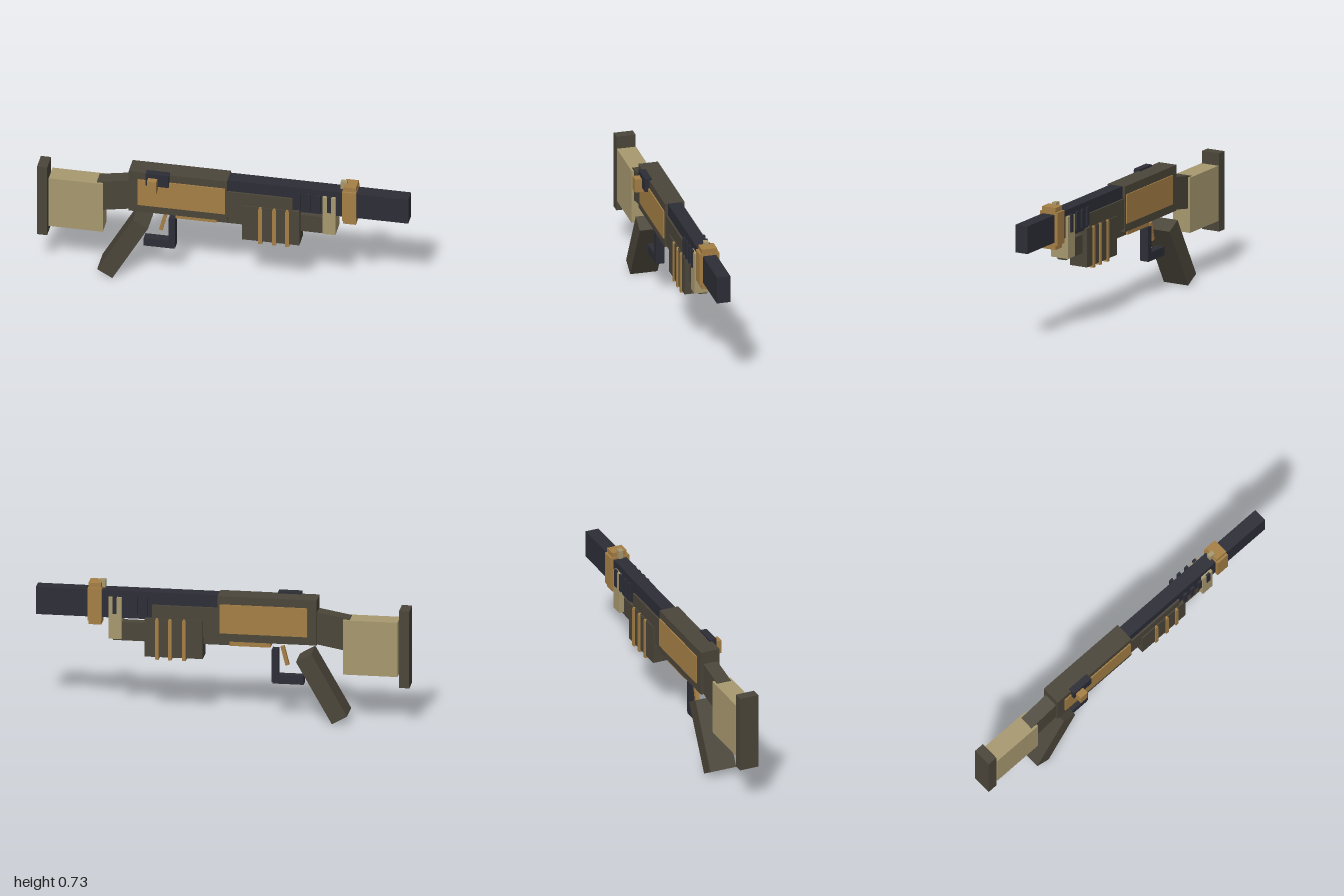
import * as THREE from 'three';

const ZC = -0.02; // centre plane of the body

export function createModel() {
  const model = new THREE.Group();
  const mat = (name, color) => {
    const m = new THREE.MeshStandardMaterial({ color });
    m.name = name;
    return m;
  };
  const olive = mat('olive', 0x4b463a);
  const dark = mat('gunmetal', 0x2d2d37);
  const gold = mat('bronze', 0xa67f45);
  const tan = mat('tan', 0xa8996f);

  // Box from its limits on x, y and z
  const box = (name, m, x0, x1, y0, y1, z0, z1) => {
    const mesh = new THREE.Mesh(new THREE.BoxGeometry(x1 - x0, y1 - y0, z1 - z0), m);
    mesh.position.set((x0 + x1) / 2, (y0 + y1) / 2, (z0 + z1) / 2);
    mesh.name = name;
    model.add(mesh);
    return mesh;
  };
  // Box centred on the body plane, w is its full depth
  const mid = (name, m, x0, x1, y0, y1, w) => box(name, m, x0, x1, y0, y1, ZC - w / 2, ZC + w / 2);
  // Side outline extruded across the body
  const slab = (name, m, pts, w) => {
    const shape = new THREE.Shape(pts.map(([x, y]) => new THREE.Vector2(x, y)));
    const mesh = new THREE.Mesh(new THREE.ExtrudeGeometry(shape, { depth: w, bevelEnabled: false }), m);
    mesh.position.z = ZC - w / 2;
    mesh.name = name;
    model.add(mesh);
  };

  // Stock
  mid('buttPlate', olive, -1, -0.945, 0.22, 0.648, 0.105);
  mid('stock', tan, -0.937, -0.645, 0.28, 0.582, 0.105);
  slab('stockNeck', olive, [[-0.68, 0.405], [-0.5, 0.438], [-0.5, 0.616], [-0.68, 0.584]], 0.08);

  // Receiver with a raised panel on each side
  mid('receiver', olive, -0.505, 0.025, 0.435, 0.685, 0.108);
  for (const s of [-1, 1]) {
    const z = ZC + s * 0.0565;
    box('sidePanel', gold, -0.455, 0.015, 0.48, 0.64, z - 0.004, z + 0.004);
  }
  mid('loadingPlate', gold, -0.255, -0.035, 0.405, 0.44, 0.07);

  // Charging handle
  box('boltBlock', dark, -0.41, -0.285, 0.62, 0.695, 0.02, 0.058);
  box('boltKnob', gold, -0.395, -0.345, 0.595, 0.67, 0.04, 0.095);

  // Grip, trigger and guard
  const grip = mid('grip', olive, -0.581, -0.487, 0.006, 0.394, 0.15);
  grip.rotation.z = -0.518;
  const trigger = mid('trigger', gold, -0.338, -0.318, 0.302, 0.408, 0.022);
  trigger.rotation.z = -0.25;
  mid('guardFront', dark, -0.295, -0.26, 0.21, 0.392, 0.048);
  mid('guardBottom', dark, -0.43, -0.265, 0.203, 0.25, 0.048);

  // Barrel, tube and fore-end
  mid('barrel', dark, 0.02, 1, 0.533, 0.684, 0.074);
  mid('magazineTube', olive, -0.035, 0.59, 0.405, 0.507, 0.05);
  mid('handguard', olive, 0.02, 0.378, 0.45, 0.616, 0.094);
  mid('pump', olive, 0.105, 0.415, 0.33, 0.542, 0.106);
  for (const x of [0.205, 0.28, 0.35]) {
    slab('pumpRib', gold, [[x - 0.01, 0.317], [x + 0.01, 0.317], [x + 0.01, 0.535],
      [x + 0.005, 0.544], [x - 0.005, 0.544], [x - 0.01, 0.535]], 0.12);
  }

  // Heat shield bars on both sides
  for (const x of [0.412, 0.464, 0.518, 0.576]) {
    for (const s of [-1, 1]) {
      const z = ZC + s * 0.054;
      box('shieldBar', dark, x - 0.011, x + 0.011, 0.56, 0.66, z - 0.006, z + 0.006);
    }
  }

  // Bracket, front band and sight
  mid('bracket', tan, 0.54, 0.61, 0.42, 0.65, 0.106);
  mid('frontBand', gold, 0.645, 0.72, 0.517, 0.696, 0.108);
  mid('bandCore', gold, 0.65, 0.718, 0.492, 0.722, 0.083);
  mid('frontSight', tan, 0.63, 0.664, 0.69, 0.735, 0.024);

  return model;
}
